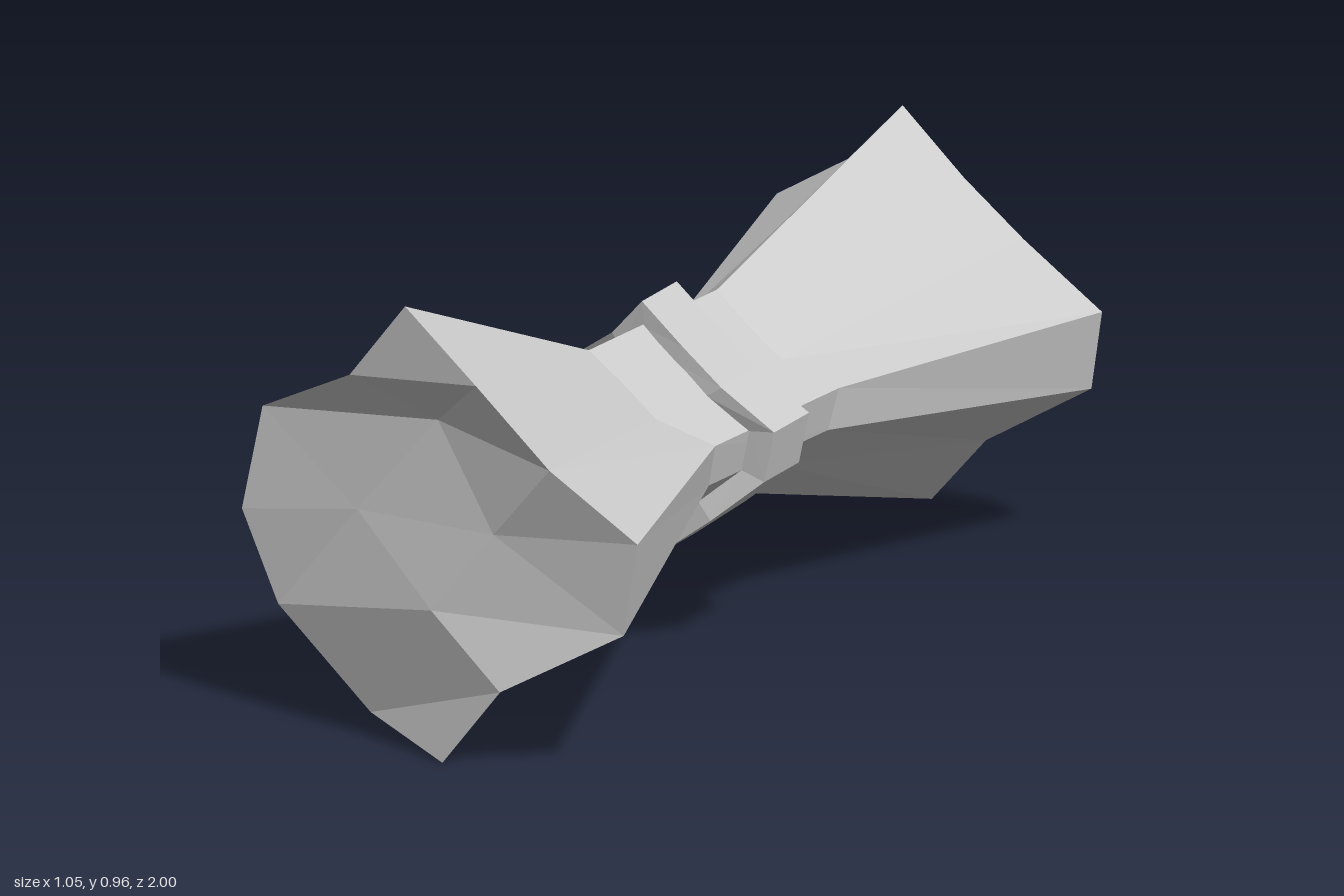
import * as THREE from 'three';

const material = new THREE.MeshStandardMaterial({ color: 0xcccccc, flatShading: true });

// Faceted mesh from a flat list of triangle corners
function facetMesh(name, corners) {
  const g = new THREE.BufferGeometry();
  g.setAttribute('position', new THREE.Float32BufferAttribute(corners.flat(), 3));
  g.computeVertexNormals();
  const mesh = new THREE.Mesh(g, material);
  mesh.name = name;
  return mesh;
}

// Skin through rings, listed front to back, each clockwise from the front
function loft(name, rings, close = false) {
  const out = [];
  const n = rings[0].length;
  const spans = close ? rings.length : rings.length - 1;
  for (let r = 0; r < spans; r++) {
    const p = rings[r], q = rings[(r + 1) % rings.length];
    for (let i = 0; i < n; i++) {
      const j = (i + 1) % n;
      out.push(p[i], p[j], q[j], p[i], q[j], q[i]);
    }
  }
  return facetMesh(name, out);
}

// End face from a 4 x 4 grid of points
function endFace(name, grid, back) {
  const out = [];
  for (let r = 0; r < 3; r++) {
    for (let c = 0; c < 3; c++) {
      const a = grid[r * 4 + c], b = grid[r * 4 + c + 1];
      const d = grid[r * 4 + c + 4], e = grid[r * 4 + c + 5];
      if (back) out.push(a, b, d, b, e, d);
      else out.push(a, d, b, b, d, e);
    }
  }
  return facetMesh(name, out);
}

// Outline of a grid, clockwise from the front
const border = (grid) => [0, 1, 2, 3, 7, 11, 15, 14, 13, 12, 8, 4].map((i) => grid[i]);

// Flared ends: rows run from the top corner down to the far corner
const frontGrid = [
  [-0.10, 0.963, 0.968], [0.07, 0.82, 0.98], [0.25, 0.67, 1.0], [0.43, 0.525, 0.955],
  [-0.24, 0.79, 0.945], [-0.07, 0.70, 0.88], [0.10, 0.50, 0.96], [0.39, 0.32, 0.94],
  [-0.485, 0.665, 0.86], [-0.26, 0.48, 0.874], [-0.04, 0.32, 0.968], [0.13, 0.175, 0.99],
  [-0.53, 0.44, 0.865], [-0.45, 0.245, 0.858], [-0.22, 0.055, 0.89], [-0.01, 0, 0.975],
];
const backGrid = [
  [0.07, 0.90, -0.905], [0.22, 0.77, -0.89], [0.36, 0.66, -0.885], [0.525, 0.52, -0.915],
  [-0.05, 0.77, -0.92], [0.085, 0.64, -0.905], [0.24, 0.51, -0.895], [0.49, 0.345, -0.935],
  [-0.27, 0.635, -1.0], [-0.06, 0.46, -0.97], [0.095, 0.36, -0.97], [0.27, 0.215, -0.89],
  [-0.30, 0.43, -0.99], [-0.235, 0.26, -0.995], [-0.04, 0.115, -0.98], [0.14, 0.068, -0.90],
];

// Narrow waist, front and back
const waistFront = [
  [-0.025, 0.695, 0.30], [0.06, 0.63, 0.30], [0.13, 0.57, 0.30], [0.22, 0.50, 0.21],
  [0.20, 0.41, 0.20], [0.11, 0.335, 0.25], [0.02, 0.265, 0.25], [-0.07, 0.28, 0.21],
  [-0.16, 0.36, 0.17], [-0.20, 0.45, 0.17], [-0.185, 0.56, 0.18], [-0.08, 0.63, 0.285],
];
const waistBack = [
  [0.015, 0.695, -0.19], [0.09, 0.63, -0.185], [0.17, 0.57, -0.18], [0.26, 0.50, -0.26],
  [0.24, 0.41, -0.25], [0.15, 0.335, -0.20], [0.05, 0.265, -0.19], [-0.03, 0.28, -0.24],
  [-0.12, 0.36, -0.31], [-0.17, 0.45, -0.32], [-0.15, 0.56, -0.31], [-0.05, 0.63, -0.19],
];

// Band around the waist: waist section scaled about its centre, slightly skewed in z
const bandZ = [0.015, 0.025, 0.03, 0.008, 0.005, 0.03, 0.03, 0, -0.03, -0.04, -0.035, 0.005];
function bandRing(scale, offset) {
  return waistFront.map((f, i) => {
    const b = waistBack[i];
    const x = (f[0] + b[0]) / 2, y = (f[1] + b[1]) / 2;
    return [0.02 + (x - 0.02) * scale, 0.48 + (y - 0.48) * scale, bandZ[i] + offset];
  });
}

export function createModel() {
  const model = new THREE.Group();
  model.name = 'flaredBundle';
  model.add(
    loft('body', [border(frontGrid), waistFront, waistBack, border(backGrid)]),
    endFace('frontEnd', frontGrid, false),
    endFace('backEnd', backGrid, true),
    loft('band', [bandRing(0.97, 0.077), bandRing(1.23, 0.077),
      bandRing(1.23, -0.077), bandRing(0.97, -0.077)]),
  );
  return model;
}
